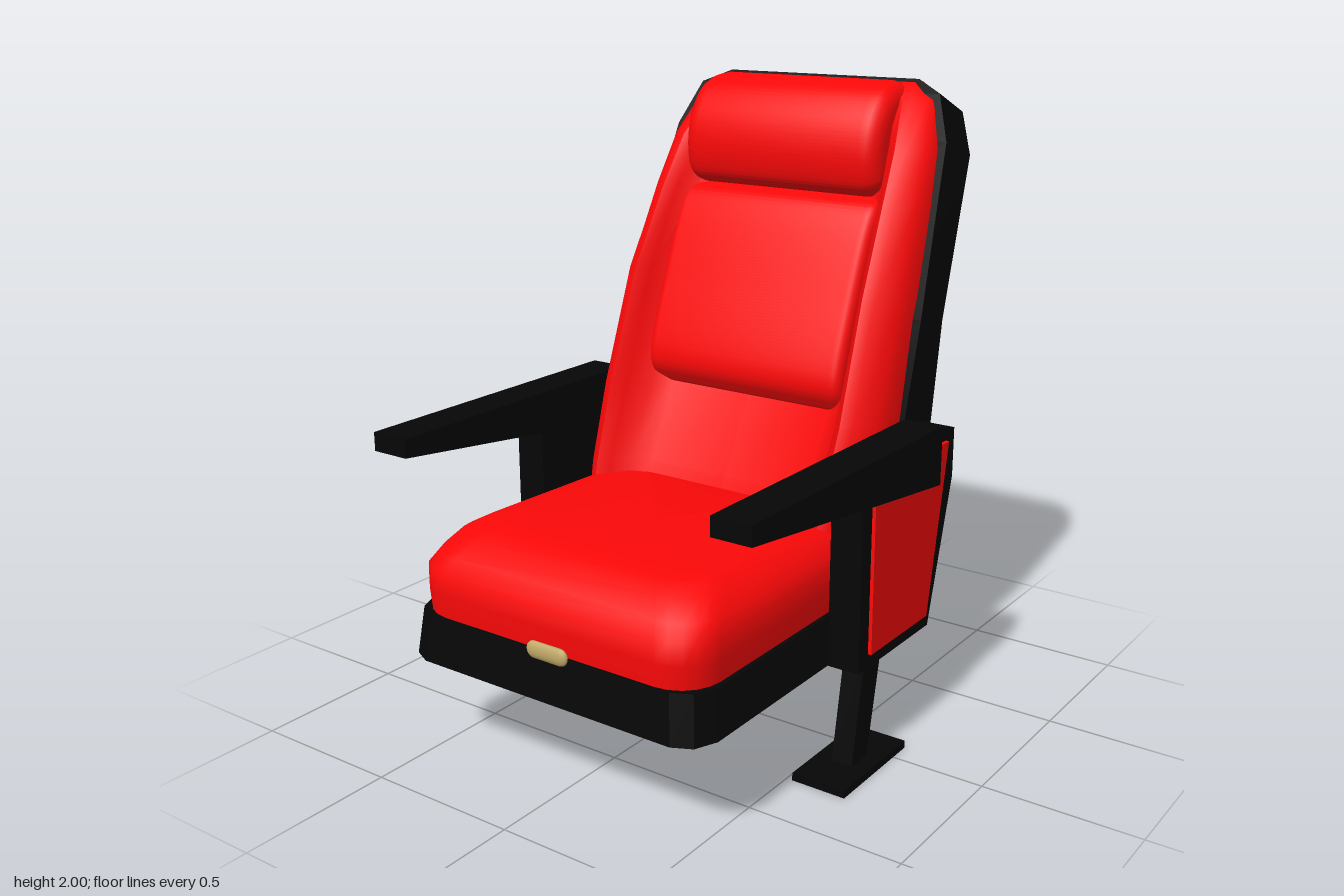
import * as THREE from 'three';
import { toCreasedNormals } from 'three/addons/utils/BufferGeometryUtils.js';

const red = new THREE.MeshStandardMaterial({ color: 0xfc0808 });
const black = new THREE.MeshStandardMaterial({ color: 0x060606 });
const brass = new THREE.MeshStandardMaterial({ color: 0xc0a868 });

function part(parent, name, geometry, material) {
  const mesh = new THREE.Mesh(geometry, material);
  mesh.name = name;
  parent.add(mesh);
  return mesh;
}

// Skin over rings of [x, y, z] points, stacked upward, each counter-clockwise from above
function loft(rings, crease) {
  const n = rings[0].length;
  const pos = rings.flat(2);
  const index = [];
  for (let i = 0; i < rings.length - 1; i++) {
    for (let j = 0; j < n; j++) {
      const k = (j + 1) % n;
      const a = i * n + j, b = i * n + k, c = b + n, d = a + n;
      index.push(a, b, c, a, c, d);
    }
  }
  [rings[0], rings[rings.length - 1]].forEach((ring, top) => {
    const centre = pos.length / 3;
    for (let axis = 0; axis < 3; axis++) pos.push(ring.reduce((s, p) => s + p[axis], 0) / n);
    const base = top ? (rings.length - 1) * n : 0;
    for (let j = 0; j < n; j++) {
      const a = base + j, b = base + (j + 1) % n;
      if (top) index.push(centre, a, b);
      else index.push(centre, b, a);
    }
  });
  const g = new THREE.BufferGeometry();
  g.setAttribute('position', new THREE.Float32BufferAttribute(pos, 3));
  g.setIndex(index);
  return toCreasedNormals(g, crease);
}

// Complete a half ring (x >= 0, front to back) with its mirror image
function mirrorRing(half) {
  const other = half.filter(p => p[0] > 0).reverse().map(([x, y, z]) => [-x, y, z]);
  return [...half, ...other];
}

// Rounded rectangle ring at height y, dropping a little towards the back
function roundedRing(y, w, zBack, zFront, r, drop) {
  const half = [];
  for (let i = 0; i <= 5; i++) {
    const a = (i / 5) * Math.PI / 2;
    half.push([w - r + r * Math.sin(a), y, zFront - r + r * Math.cos(a)]);
  }
  for (let i = 0; i <= 3; i++) {
    const a = (i / 3) * Math.PI / 2;
    half.push([w - 0.05 + 0.05 * Math.cos(a), y - drop, zBack + 0.05 - 0.05 * Math.sin(a)]);
  }
  return mirrorRing(half);
}

// Side profile of [z, y] points extruded across x, centred on x = 0
function sideSlab(points, width, bevel = 0, smooth = false) {
  const v = points.map(p => new THREE.Vector2(...p));
  const shape = new THREE.Shape();
  shape.moveTo(v[0].x, v[0].y);
  if (smooth) shape.splineThru([...v.slice(1), v[0]]);
  else v.slice(1).forEach(p => shape.lineTo(p.x, p.y));
  const g = new THREE.ExtrudeGeometry(shape, {
    depth: width - 2 * bevel, bevelEnabled: bevel > 0, bevelSize: bevel,
    bevelThickness: bevel, bevelOffset: -bevel, bevelSegments: 4, curveSegments: 24
  });
  g.translate(0, 0, -(width - 2 * bevel) / 2);
  g.rotateY(-Math.PI / 2);
  return smooth ? toCreasedNormals(g, 0.8) : g;
}

function addBackrest(group) {
  // Shell stations: front y, front z, back y, back z, half width
  const shell = [
    [0.33, -0.20, 0.29, -0.30, 0.48], [0.38, -0.20, 0.43, -0.35, 0.545],
    [0.75, -0.20, 0.70, -0.43, 0.555], [1.30, -0.34, 1.27, -0.51, 0.56],
    [1.82, -0.55, 1.76, -0.745, 0.515], [1.96, -0.61, 1.89, -0.80, 0.455],
    [2.00, -0.65, 1.94, -0.825, 0.36]
  ].map(([fy, fz, by, bz, w]) => mirrorRing([[w, fy, fz], [w - 0.012, by, bz]]));
  part(group, 'backShell', loft(shell, 0.35), black);

  // Cushion stations: y, half width, back z, bolster peak z, centre z
  const cushion = [
    [0.55, 0.52, -0.23, 0.08, -0.03], [0.75, 0.53, -0.25, 0.03, -0.09],
    [1.00, 0.54, -0.30, -0.06, -0.225], [1.37, 0.53, -0.41, -0.19, -0.365],
    [1.63, 0.51, -0.51, -0.325, -0.46], [1.80, 0.49, -0.58, -0.425, -0.53],
    [1.94, 0.44, -0.65, -0.54, -0.58], [1.99, 0.36, -0.68, -0.61, -0.62]
  ].map(([y, w, zb, zp, zc]) => {
    const s = w / 0.53, d = zp - zb;
    return mirrorRing([
      [0, y, zc], [0.30 * s, y, zc], [0.36 * s, y, zc + (zp - zc) * 0.2],
      [0.40 * s, y, zc + (zp - zc) * 0.75], [0.435 * s, y, zp],
      [0.47 * s, y, zp - d * 0.08], [0.515 * s, y, zp - d * 0.4], [w, y, zp - d * 0.6], [w, y, zb]
    ]);
  });
  part(group, 'backCushion', loft(cushion, 0.8), red);

  const lumbar = [[-0.28, 0.96], [-0.215, 1.01], [-0.19, 1.11], [-0.275, 1.36], [-0.365, 1.57],
    [-0.43, 1.635], [-0.52, 1.62], [-0.40, 1.25]];
  part(group, 'lumbarPad', sideSlab(lumbar, 0.75, 0.035, true), red).position.x = -0.015;

  const headrest = [[-0.46, 1.64], [-0.405, 1.68], [-0.388, 1.78], [-0.41, 1.88], [-0.47, 1.96],
    [-0.55, 1.993], [-0.63, 1.975], [-0.60, 1.80]];
  part(group, 'headrest', sideSlab(headrest, 0.74, 0.06, true), red).position.x = -0.018;
}

function addSeat(group) {
  // Cushion stations: y, half width, front z, corner radius, rear drop
  const cushion = [
    [0.47, 0.52, 0.805, 0.13, 0], [0.55, 0.525, 0.81, 0.13, 0], [0.62, 0.525, 0.81, 0.13, 0],
    [0.66, 0.505, 0.775, 0.13, 0.005], [0.705, 0.47, 0.725, 0.13, 0.015],
    [0.73, 0.425, 0.66, 0.12, 0.025], [0.735, 0.36, 0.59, 0.10, 0.025]
  ].map(([y, w, z, r, drop]) => roundedRing(y, w, -0.17, z, r, drop));
  part(group, 'seatCushion', loft(cushion, 0.9), red);

  const base = [[0.33, 0.55, 0.83], [0.48, 0.535, 0.81]].map(([y, w, z]) => mirrorRing([
    [w - 0.09, y, z], [w - 0.03, y, z - 0.03], [w, y, z - 0.10], [w, y, -0.24]
  ]));
  part(group, 'seatBase', loft(base, 0.3), black);

  const handle = new THREE.CapsuleGeometry(0.027, 0.096, 6, 16);
  handle.rotateZ(Math.PI / 2);
  handle.scale(1, 1, 0.5);
  part(group, 'seatHandle', handle, brass).position.set(0.015, 0.478, 0.812);
}

function addSide(group, side) {
  const g = new THREE.Group();
  g.name = side > 0 ? 'leftSide' : 'rightSide';
  group.add(g);

  const arm = [[0.775, 0.94], [0.775, 1.0], [-0.27, 1.0], [-0.27, 0.81]];
  part(g, 'armrest', sideSlab(arm, 0.13), black).position.x = side * 0.62;

  const frame = [[0.165, 0.335], [0.165, 0.90], [-0.27, 0.99], [-0.40, 0.96], [-0.40, 0.80], [-0.27, 0.335]];
  part(g, 'sideFrame', sideSlab(frame, 0.105), black).position.x = side * 0.608;

  // The panel stands slightly prouder on the left
  const panel = [[0.11, 0.38], [0.11, 0.88], [-0.26, 0.84], [-0.26, 0.93], [-0.345, 0.93], [-0.24, 0.38]];
  part(g, 'sidePanel', sideSlab(panel, 0.02), red).position.x = side * 0.658 + 0.004;

  const leg = [[0.165, 0.02], [0.105, 0.36], [0.005, 0.36], [0.075, 0.02]];
  part(g, 'leg', sideSlab(leg, 0.07), black).position.x = side * 0.612;

  const foot = new THREE.BoxGeometry(0.18, 0.025, 0.37);
  part(g, 'foot', foot, black).position.set(side * 0.61, 0.0125, 0.113);
}

export function createModel() {
  const model = new THREE.Group();
  model.name = 'cinemaSeat';
  addBackrest(model);
  addSeat(model);
  for (const side of [1, -1]) addSide(model, side);
  return model;
}
